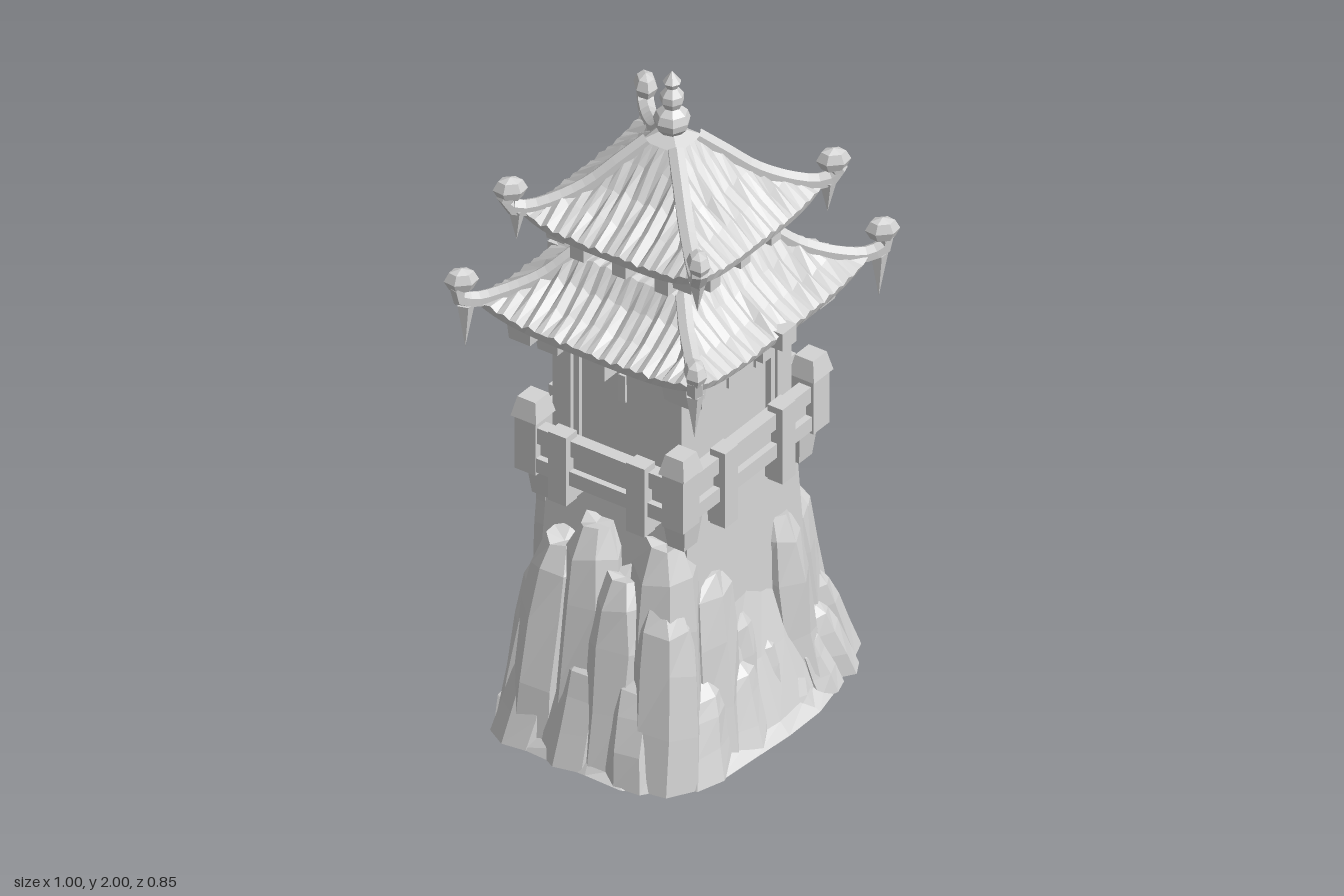
import * as THREE from 'three';

const stone = new THREE.MeshStandardMaterial({ color: 0xd3d3d3, flatShading: true });
stone.name = 'grey stone';

// Repeatable noise in -0.5..0.5
const noise = (a, b, c) => {
  const s = Math.sin(a * 12.99 + b * 78.23 + c * 37.72) * 43758.55;
  return s - Math.floor(s) - 0.5;
};

// Move every vertex by a rule: fn(v) edits the vector in place
function warp(geo, fn) {
  const p = geo.attributes.position, v = new THREE.Vector3();
  for (let i = 0; i < p.count; i++) {
    v.fromBufferAttribute(p, i);
    fn(v);
    p.setXYZ(i, v.x, v.y, v.z);
  }
  geo.computeVertexNormals();
  return geo;
}

function add(parent, name, geo, x = 0, y = 0, z = 0) {
  const m = new THREE.Mesh(geo, stone);
  m.name = name;
  m.position.set(x, y, z);
  parent.add(m);
  return m;
}

// Box from y0 to y1 whose top is scaled by taper
function block(parent, name, x, y0, y1, z, w, d, taper = 1) {
  const geo = warp(new THREE.BoxGeometry(w, y1 - y0, d), v => {
    if (v.y > 0) { v.x *= taper; v.z *= taper; }
  });
  return add(parent, name, geo, x, (y0 + y1) / 2, z);
}

// Four beams around a rectangle
function ring(parent, name, hx, hz, y0, y1, t) {
  for (const s of [-1, 1]) {
    block(parent, name, 0, y0, y1, s * (hz - t / 2), hx * 2, t);
    block(parent, name, s * (hx - t / 2), y0, y1, 0, t, hz * 2 - t * 2);
  }
}

// Blunt faceted column of rock leaning towards the tower
function rock(parent, x, z, rx, rz, h) {
  const geo = warp(new THREE.CylinderGeometry(1, 1, 1, 7, 4), v => {
    const level = Math.round((v.y + 0.5) * 4), t = [0, 0.32, 0.66, 0.88, 1][level];
    const n = k => noise(Math.round(v.x * 50) + x * 90, level * 3 + k, Math.round(v.z * 50) + z * 70);
    const r = [1.12, 1.05, 0.98, 0.86, 0.52][level];
    const a = n(1), b = n(2), c = n(3);
    v.y = t * h + (level > 0 ? c * 0.05 * h : 0);
    v.x = v.x * rx * r * (1 + a * 0.2) - x * 0.17 * t;
    v.z = v.z * rz * r * (1 + b * 0.2) - z * 0.17 * t;
  });
  add(parent, 'rock', geo, x, 0, z);
}

// Four-sided roof with parallel ribs cut off at the hips; rows are [halfX, halfZ, y, cornerLift, ribHeight]
function roof(parent, name, rows, cols, seed) {
  const pos = [], idx = [];
  const widest = [0, 1].map(k => Math.max(...rows.map(r => r[k])));
  for (let side = 0; side < 4; side++) {
    const start = pos.length / 3;
    rows.forEach(([hx, hz, y, lift, rib], r) => {
      const half = side % 2 ? hz : hx, full = widest[side % 2];
      for (let c = 0; c <= cols; c++) {
        const along = (c / cols * 2 - 1) * full;
        const u = THREE.MathUtils.clamp(along / half, -1, 1);
        const bump = Math.abs(u) === 1 ? 0 : rib * ((c % 2) + noise(c, side + seed, r));
        const py = y + lift * Math.pow(Math.abs(u), 4) + bump;
        pos.push(...[[u * hx, py, hz], [hx, py, -u * hz], [-u * hx, py, -hz], [-hx, py, u * hz]][side]);
      }
    });
    for (let r = 0; r < rows.length - 1; r++) for (let c = 0; c < cols; c++) {
      const a = start + r * (cols + 1) + c, d = a + cols + 1;
      idx.push(a, a + 1, d + 1, a, d + 1, d);
    }
  }
  const geo = new THREE.BufferGeometry();
  geo.setAttribute('position', new THREE.Float32BufferAttribute(pos, 3));
  geo.setIndex(idx);
  geo.computeVertexNormals();
  add(parent, name, geo);
}

// Hip ridges ending in curled horns with a knob and a hanging spike
function hips(parent, points, radius, knob, spike) {
  for (const sx of [-1, 1]) for (const sz of [-1, 1]) {
    const path = points.map(([x, y, z]) => new THREE.Vector3(x * sx, y, z * sz));
    const curve = new THREE.CatmullRomCurve3(path), end = path[path.length - 1];
    add(parent, 'hipRidge', new THREE.TubeGeometry(curve, 14, radius, 6));
    const ball = add(parent, 'hornKnob', new THREE.SphereGeometry(knob, 6, 4), end.x, end.y, end.z);
    ball.rotation.y = -Math.atan2(sz, sx);
    ball.scale.set(1.15, 0.9, 0.8);
    const cone = new THREE.ConeGeometry(0.026, spike[3], 5);
    cone.rotateX(Math.PI);
    add(parent, 'hangingSpike', cone, sx * spike[0], spike[1] - spike[3] / 2, sz * spike[2]);
  }
}

export function createModel() {
  const model = new THREE.Group();
  const group = name => { const g = new THREE.Group(); g.name = name; model.add(g); return g; };

  // Rock base: a flared mound, flat behind, with columns around it
  const base = group('rockBase');
  const mound = warp(new THREE.CylinderGeometry(1, 1, 1, 22, 3), v => {
    const level = Math.round((v.y + 0.5) * 3);
    const k = 1 + 0.05 * noise(Math.round(v.x * 40), level, Math.round(v.z * 40));
    const q = Math.pow(Math.pow(Math.abs(v.x), 3) + Math.pow(Math.abs(v.z), 3), 1 / 3) || 1;
    const r = Math.hypot(v.x, v.z);
    v.x *= [0.49, 0.45, 0.38, 0.3][level] * r / q * k;
    v.z *= [0.39, 0.355, 0.29, 0.24][level] * r / q * k;
    if (level > 0) v.z = Math.max(v.z, -0.255);
    v.y = [0, 0.035, 0.22, 0.42][level];
  });
  add(base, 'mound', mound);
  [
    // front
    [-0.18, 0.25, 0.105, 0.085, 0.55], [-0.31, 0.2, 0.1, 0.1, 0.68], [-0.36, 0.23, 0.085, 0.1, 0.52],
    [-0.04, 0.27, 0.065, 0.06, 0.37], [0.05, 0.29, 0.075, 0.06, 0.26], [-0.1, 0.31, 0.09, 0.06, 0.24],
    [0.21, 0.25, 0.085, 0.085, 0.57], [0.32, 0.2, 0.08, 0.08, 0.58], [0.25, 0.32, 0.06, 0.05, 0.18],
    [0.35, 0.29, 0.06, 0.06, 0.22], [0.14, 0.32, 0.06, 0.05, 0.14], [-0.28, 0.3, 0.1, 0.065, 0.26],
    // left side
    [0.37, 0.17, 0.085, 0.085, 0.55], [0.37, 0.05, 0.075, 0.08, 0.43], [0.37, -0.06, 0.085, 0.075, 0.43],
    [0.35, -0.18, 0.1, 0.09, 0.67], [0.42, 0.24, 0.06, 0.065, 0.28], [0.43, 0.0, 0.05, 0.09, 0.2],
    [0.43, -0.19, 0.055, 0.08, 0.24], [0.38, -0.27, 0.075, 0.06, 0.38],
    // right side
    [-0.37, 0.08, 0.09, 0.1, 0.56], [-0.35, -0.05, 0.09, 0.09, 0.69], [-0.36, -0.17, 0.1, 0.1, 0.6],
    [-0.42, 0.17, 0.06, 0.085, 0.3], [-0.43, -0.02, 0.055, 0.09, 0.3], [-0.42, -0.2, 0.06, 0.08, 0.28],
    // back corners
    [-0.33, -0.25, 0.09, 0.065, 0.5], [-0.25, -0.3, 0.055, 0.05, 0.22], [0.31, -0.25, 0.07, 0.05, 0.34],
  ].forEach(r => rock(base, ...r));
  block(base, 'slab', 0.28, 0, 0.25, -0.3, 0.12, 0.08, 0.9);

  // Lower tower and doorway at the back
  const lower = group('lowerTower');
  block(lower, 'lowerWall', 0, 0, 0.82, 0, 0.58, 0.53, 0.86);
  const arch = new THREE.Shape([[-0.18, 0], [-0.17, 0.4], [-0.1, 0.5], [0.1, 0.5], [0.17, 0.4], [0.18, 0],
    [0.12, 0], [0.12, 0.35], [0.07, 0.43], [-0.07, 0.43], [-0.12, 0.35], [-0.12, 0]].map(p => new THREE.Vector2(...p)));
  add(lower, 'doorFrame', new THREE.ExtrudeGeometry(arch, { depth: 0.07, bevelEnabled: false }), 0, 0, -0.295);
  for (const s of [-1, 1]) {
    block(lower, 'doorLeaf', s * 0.057, 0.06, 0.42, -0.256, 0.108, 0.03);
    block(lower, 'doorBand', s * 0.057, 0.2, 0.23, -0.272, 0.1, 0.015);
    block(lower, 'doorPillar', s * 0.15, 0, 0.36, -0.288, 0.05, 0.05, 0.9);
    const strip = warp(new THREE.BoxGeometry(0.09, 0.45, 0.03, 2, 6, 1), v => {
      const t = 0.5 - v.y / 0.45;
      v.x = v.x * (1 - t * 0.6) + noise(Math.round(t * 6), s, Math.round(v.x * 50)) * 0.015;
      v.z -= t * 0.035;
    });
    add(lower, 'hangingStrip', strip, s * 0.22, 0.57, -0.245);
  }
  for (let i = 0; i < 3; i++) block(lower, 'step', 0, 0, 0.025 + i * 0.025, -0.3 + i * 0.012, 0.28 - i * 0.02, 0.15 - i * 0.035);

  // Balcony with railings, corner posts and hooked brackets
  const balcony = group('balcony');
  block(balcony, 'floor', 0, 0.795, 0.83, 0, 0.63, 0.52);
  ring(balcony, 'lowerRail', 0.335, 0.275, 0.8, 0.845, 0.045);
  ring(balcony, 'railPanel', 0.315, 0.255, 0.84, 0.9, 0.02);
  ring(balcony, 'upperRail', 0.33, 0.272, 0.89, 0.94, 0.04);
  for (const sx of [-1, 1]) for (const sz of [-1, 1]) {
    block(balcony, 'cornerPost', sx * 0.3, 0.79, 0.97, sz * 0.245, 0.075, 0.07);
    block(balcony, 'postCap', sx * 0.3, 0.96, 1.02, sz * 0.245, 0.09, 0.085, 0.7);
    block(balcony, 'cornerStrut', sx * 0.265, 0.7, 0.8, sz * 0.225, 0.06, 0.055, 1.4);
    block(balcony, 'railBracket', sx * 0.132, 0.72, 0.96, sz * 0.268, 0.06, 0.05);
    block(balcony, 'bracketFoot', sx * 0.132, 0.72, 0.8, sz * 0.245, 0.05, 0.08);
    block(balcony, 'railBracket', sx * 0.325, 0.74, 0.96, sz * 0.13, 0.05, 0.06);
    block(balcony, 'bracketFoot', sx * 0.295, 0.74, 0.8, sz * 0.13, 0.09, 0.05);
  }

  // Upper room: walls, corner pillars, panel frames and window slits
  const room = group('upperRoom');
  block(room, 'wall', 0, 0.82, 1.3, 0, 0.45, 0.38);
  for (const s of [-1, 1]) {
    for (const sz of [-1, 1]) {
      block(room, 'cornerPillar', s * 0.222, 0.82, 1.27, sz * 0.184, 0.064, 0.06);
      block(room, 'frameSide', s * 0.177, 0.84, 1.22, sz * 0.195, 0.018, 0.025);
      block(room, 'frameSide', sz * 0.228, 0.84, 1.22, s * 0.145, 0.025, 0.018);
    }
    block(room, 'frameTop', 0, 1.2, 1.225, s * 0.195, 0.37, 0.03);
    block(room, 'frameTop', s * 0.228, 1.2, 1.225, 0, 0.03, 0.3);
    for (const x of [-0.125, 0, 0.125]) block(room, 'window', x, 1.055, 1.14, s * 0.194, 0.026, 0.009, 0.85);
    block(room, 'window', s * 0.229, 1.055, 1.14, 0, 0.009, 0.026, 0.85);
  }

  // Beams and brackets below each roof
  const eaves = group('eaveBrackets');
  ring(eaves, 'eaveBeam', 0.28, 0.24, 1.225, 1.265, 0.07);
  ring(eaves, 'outerBeam', 0.335, 0.3, 1.262, 1.29, 0.04);
  ring(eaves, 'upperBeam', 0.195, 0.19, 1.485, 1.51, 0.06);
  ring(eaves, 'upperOuterBeam', 0.245, 0.24, 1.525, 1.555, 0.04);
  for (const s of [-1, 1]) {
    block(eaves, 'centreBracket', 0, 1.19, 1.27, s * 0.27, 0.05, 0.1);
    block(eaves, 'centreBracket', 0, 1.26, 1.315, s * 0.34, 0.065, 0.1);
    block(eaves, 'centreBracket', s * 0.3, 1.19, 1.27, 0, 0.09, 0.05);
    for (const t of [-1, 1]) {
      block(eaves, 'cornerBracket', s * 0.25, 1.16, 1.25, t * 0.21, 0.065, 0.065, 1.3);
      block(eaves, 'cornerArm', s * 0.3, 1.2, 1.29, t * 0.265, 0.07, 0.07, 1.2);
      block(eaves, 'upperCornerBracket', s * 0.215, 1.5, 1.57, t * 0.21, 0.06, 0.06, 1.2);
    }
    for (const x of [-0.14, 0, 0.14]) {
      block(eaves, 'upperBracket', x, 1.465, 1.555, s * 0.21, 0.045, 0.07);
      block(eaves, 'upperBracket', s * 0.21, 1.465, 1.555, x, 0.07, 0.045);
    }
  }

  // Lower roof, a ring sloping down from the small upper storey
  const lowRoof = group('lowerRoof');
  roof(lowRoof, 'lowerRoofTiles', [[0.2, 0.17, 1.29, 0, 0], [0.39, 0.365, 1.275, 0.04, 0], [0.4, 0.378, 1.3, 0.04, 0.008],
    [0.33, 0.305, 1.335, 0.015, 0.014], [0.265, 0.24, 1.385, 0.005, 0.014], [0.215, 0.19, 1.45, 0, 0.006], [0.15, 0.14, 1.46, 0, 0]], 36, 1);
  hips(lowRoof, [[0.2, 1.45, 0.18], [0.26, 1.39, 0.235], [0.33, 1.35, 0.305], [0.4, 1.335, 0.365], [0.443, 1.36, 0.395], [0.432, 1.405, 0.388]],
    0.024, 0.042, [0.425, 1.33, 0.38, 0.14]);
  block(lowRoof, 'upperStorey', 0, 1.44, 1.58, 0, 0.33, 0.32);

  // Upper roof sweeping up to the finial
  const topRoof = group('upperRoof');
  roof(topRoof, 'upperRoofTiles', [[0.14, 0.14, 1.56, 0, 0], [0.29, 0.29, 1.54, 0.04, 0], [0.3, 0.3, 1.565, 0.04, 0.008],
    [0.225, 0.225, 1.61, 0.015, 0.014], [0.16, 0.16, 1.66, 0.005, 0.014], [0.1, 0.1, 1.73, 0, 0.01],
    [0.06, 0.06, 1.785, 0, 0], [0.02, 0.02, 1.81, 0, 0]], 30, 7);
  hips(topRoof, [[0.045, 1.785, 0.045], [0.1, 1.725, 0.1], [0.16, 1.66, 0.16], [0.23, 1.615, 0.23], [0.285, 1.6, 0.285], [0.322, 1.62, 0.322], [0.312, 1.665, 0.312]],
    0.025, 0.042, [0.3, 1.6, 0.3, 0.1]);
  const finial = [[0.055, 1.78], [0.03, 1.805], [0.048, 1.825], [0.052, 1.845], [0.044, 1.868], [0.024, 1.885], [0.034, 1.905],
    [0.033, 1.925], [0.016, 1.947], [0.026, 1.965], [0, 2]].map(p => new THREE.Vector2(...p));
  add(topRoof, 'finial', new THREE.LatheGeometry(finial, 7));

  return model;
}
